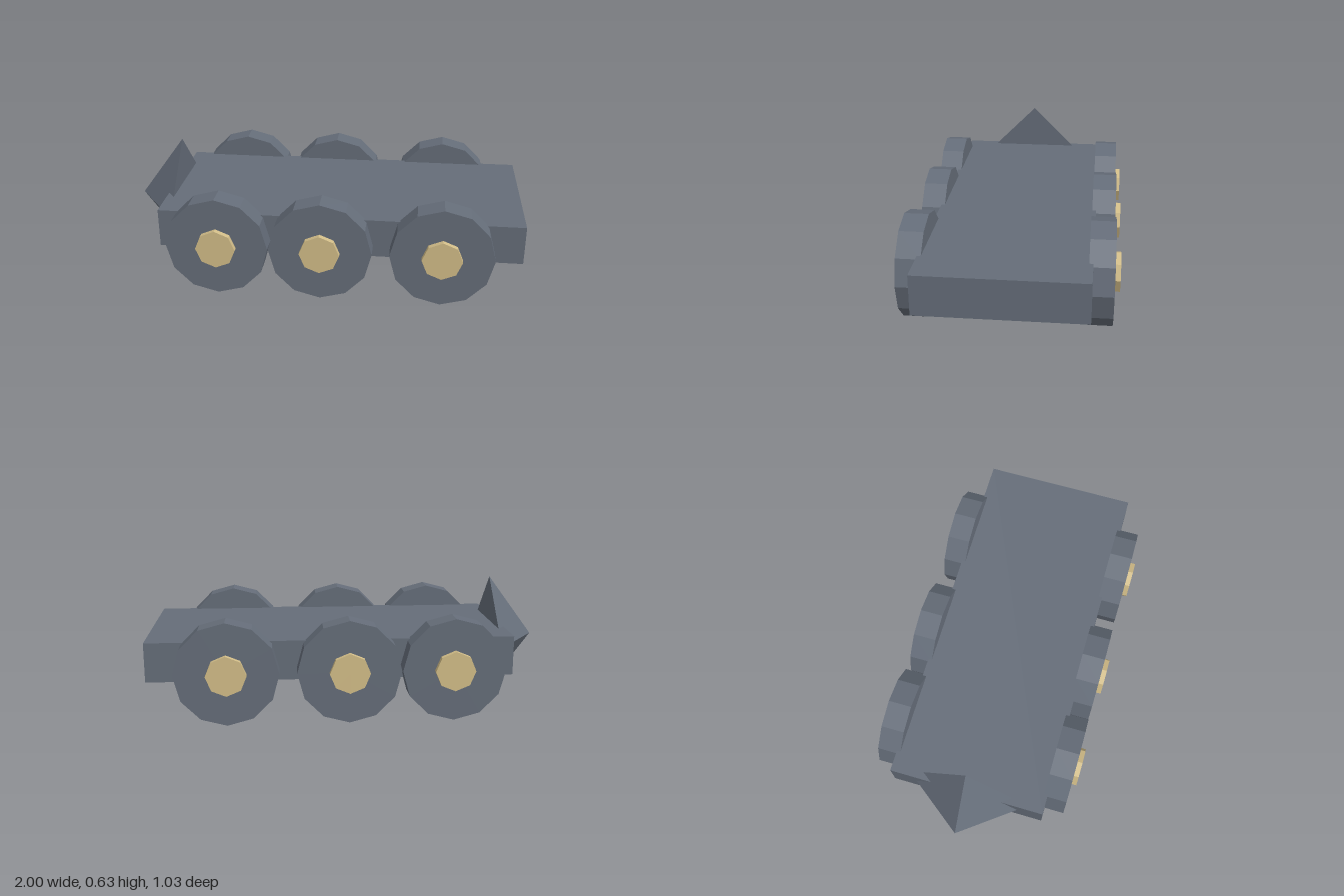
import * as THREE from 'three';

export function createModel() {
  const model = new THREE.Group();
  model.name = 'wheeledCart';

  const slate = new THREE.MeshStandardMaterial({ color: 0x656d79, flatShading: true });
  slate.name = 'slate grey';
  const gold = new THREE.MeshStandardMaterial({ color: 0xd2bd88, flatShading: true });
  gold.name = 'pale gold';

  const add = (parent, name, geometry, material, x, y, z) => {
    const mesh = new THREE.Mesh(geometry, material);
    mesh.name = name;
    mesh.position.set(x, y, z);
    parent.add(mesh);
    return mesh;
  };

  // Flat slab body
  add(model, 'body', new THREE.BoxGeometry(1.803, 0.195, 0.785), slate, 0.0975, 0.2975, 0);

  // Four-sided nose, pointing along -x with its base diamond sunk into the body
  const noseGeometry = new THREE.ConeGeometry(0.313, 0.233, 4).rotateZ(Math.PI / 2);
  add(model, 'nose', noseGeometry, slate, -0.8835, 0.313, 0);

  // Three twelve-sided wheels with octagonal hubs on each side
  const wheelGeometry = new THREE.CylinderGeometry(0.2525, 0.2525, 0.116, 12).rotateX(Math.PI / 2);
  const hubGeometry = new THREE.CylinderGeometry(0.098, 0.098, 0.06, 8).rotateX(Math.PI / 2);
  for (const side of [1, -1]) {
    for (const x of [-0.493, 0.016, 0.605]) {
      const wheel = new THREE.Group();
      wheel.name = side > 0 ? 'frontWheel' : 'backWheel';
      wheel.position.set(x, 0.257, side * 0.432);
      add(wheel, 'tyre', wheelGeometry, slate, 0, 0, 0);
      add(wheel, 'hub', hubGeometry, gold, 0, 0, side * 0.0555);
      model.add(wheel);
    }
  }

  return model;
}
